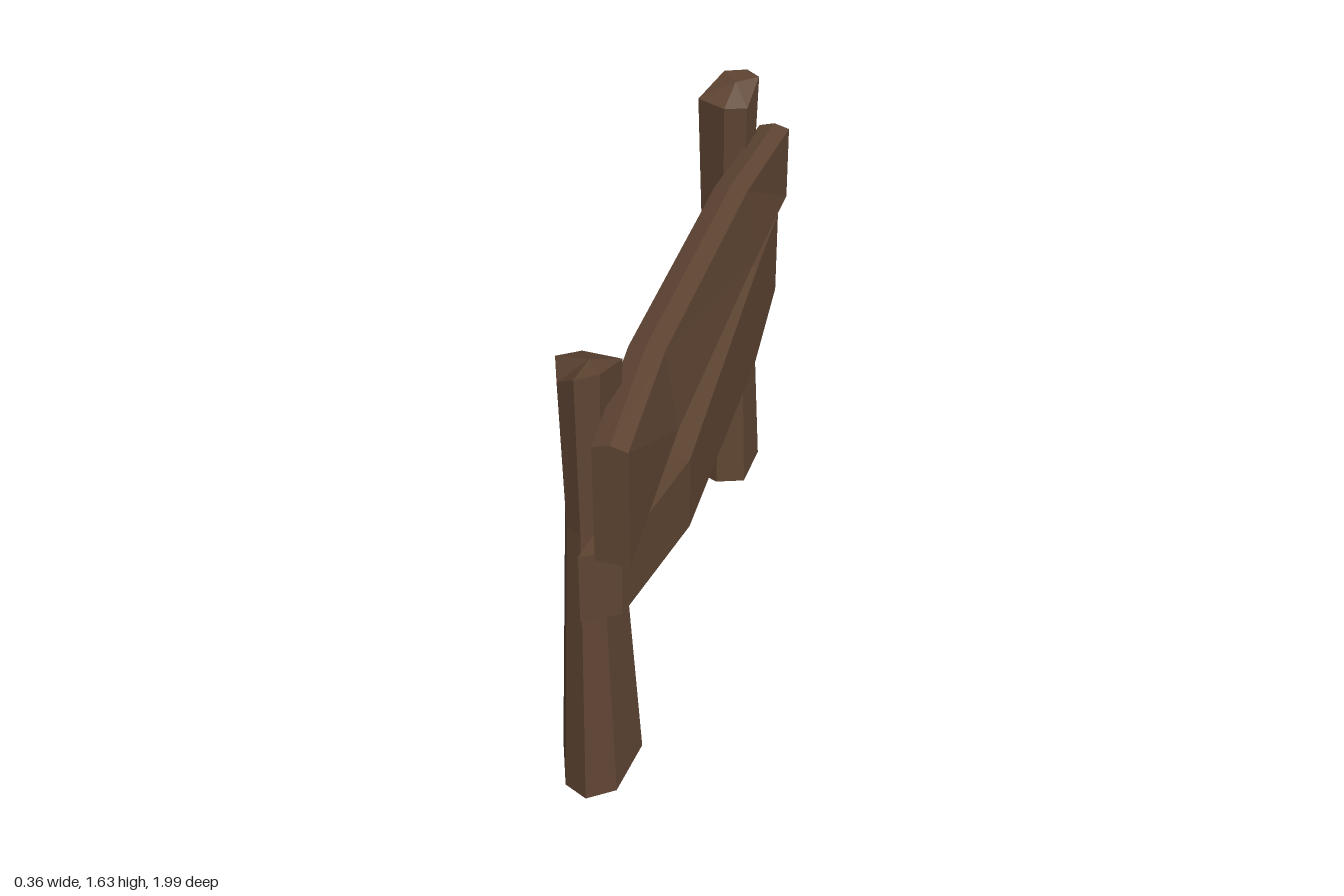
import * as THREE from 'three';

const wood = new THREE.MeshStandardMaterial({
  color: 0x5f4533, roughness: 1, flatShading: true, side: THREE.DoubleSide,
});

// Skins a run of equal-sized rings; capStart / capEnd are optional fan centres.
function loft(name, rings, capStart, capEnd) {
  const pos = [];
  const tri = (a, b, c) => pos.push(...a, ...b, ...c);
  const n = rings[0].length;
  for (let i = 0; i < n; i++) {
    const j = (i + 1) % n;
    for (let k = 0; k < rings.length - 1; k++) {
      const lo = rings[k], hi = rings[k + 1];
      tri(lo[i], lo[j], hi[j]);
      tri(lo[i], hi[j], hi[i]);
    }
    const first = rings[0], last = rings[rings.length - 1];
    if (capStart) tri(capStart, first[j], first[i]);
    if (capEnd) tri(capEnd, last[i], last[j]);
  }
  const geo = new THREE.BufferGeometry();
  geo.setAttribute('position', new THREE.Float32BufferAttribute(pos, 3));
  geo.computeVertexNormals();
  const mesh = new THREE.Mesh(geo, wood);
  mesh.name = name;
  return mesh;
}

// Hewn post: irregular hexagon, waisted at mid height, with an uneven chipped top.
function post(name, foot, cx, cz, topHeights) {
  const ring = (scale, y) => foot.map(([x, z], i) => [
    cx + (x - cx) * scale, Array.isArray(y) ? y[i] : y, cz + (z - cz) * scale,
  ]);
  return loft(name, [ring(1, 0), ring(0.62, 1.06), ring(0.73, topHeights)],
    null, [cx + 0.02, 1.63, cz]);
}

// Plank running along z. Station: z, bottom y, top y, inner x, outer x,
// lean (shift of the top edge in x), skew (shift of the outer edge in z).
function plank(name, stations, ridge) {
  const rings = stations.map(([z, y0, y1, xi, xo, lean = 0, skew = 0]) => [
    [xo, y0, z + skew],
    [xo + lean, y1 - ridge, z + skew],
    [(xi + xo) / 2 + lean, y1, z + skew / 2],
    [xi + lean, y1 - ridge, z],
    [xi, y0, z],
  ]);
  const middle = (r) => [0, 1, 2].map((a) => r.reduce((s, p) => s + p[a], 0) / r.length);
  return loft(name, rings, middle(rings[0]), middle(rings[rings.length - 1]));
}

export function createModel() {
  const group = new THREE.Group();
  group.name = 'fence';

  // Posts
  group.add(post('frontPost',
    [[-0.18, 0.71], [-0.115, 0.89], [-0.035, 0.93], [0.05, 0.87], [0.075, 0.66], [-0.09, 0.65]],
    -0.045, 0.787, [1.58, 1.59, 1.63, 1.63, 1.58, 1.58]));
  group.add(post('backPost',
    [[-0.17, -0.79], [-0.03, -0.725], [0.07, -0.76], [0.08, -0.945], [0.01, -1.0], [-0.09, -0.96]],
    -0.04, -0.865, [1.58, 1.58, 1.58, 1.63, 1.63, 1.63]));

  // Rails
  group.add(plank('upperRail', [
    [-0.985, 1.14, 1.425, 0.04, 0.145],
    [-0.5, 1.185, 1.455, 0.04, 0.15, -0.035],
    [0.51, 1.213, 1.505, 0.045, 0.155, -0.04],
    [0.99, 1.08, 1.505, 0.04, 0.145],
  ], 0.015));
  group.add(plank('lowerRail', [
    [-0.97, 0.75, 1.07, 0.01, 0.12],
    [-0.52, 0.735, 1.135, 0.04, 0.152],
    [0.46, 0.802, 1.066, 0.06, 0.178],
    [0.975, 0.815, 1.066, -0.015, 0.095, 0, -0.065],
  ], 0));
  return group;
}
